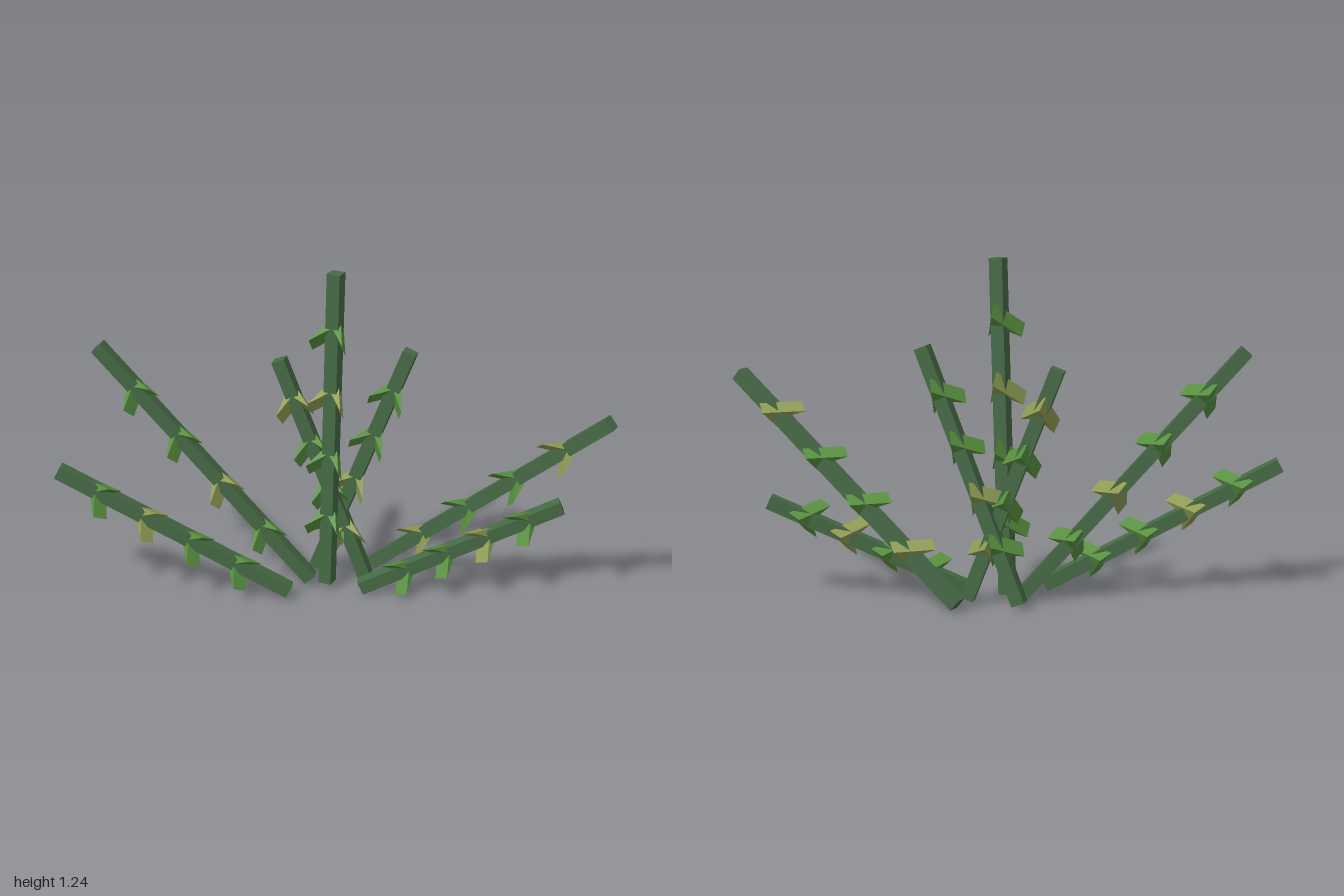
import * as THREE from 'three';

const stemMat = new THREE.MeshStandardMaterial({ color: 0x466a45 });
stemMat.name = 'stem green';
const leafMat = new THREE.MeshStandardMaterial({ color: 0x589040 });
leafMat.name = 'leaf green';
const dryMat = new THREE.MeshStandardMaterial({ color: 0x8f9c54 });
dryMat.name = 'dry leaf';

// Each stem: base, tip, and the indices of its dry leaf pairs (counted from the base)
const STEMS = [
  { name: 'lowLeft', from: [-0.16, 0.05, 0.06], to: [-0.985, 0.51, 0.245], dry: [2] },
  { name: 'highLeft', from: [-0.115, 0.05, -0.06], to: [-0.88, 0.945, 0.072], dry: [1] },
  { name: 'shortCentre', from: [0.07, 0.04, -0.165], to: [-0.255, 0.885, -0.137], dry: [0, 3] },
  { name: 'tallCentre', from: [-0.052, 0.04, -0.068], to: [-0.015, 1.26, -0.063], dry: [2] },
  { name: 'leaningCentre', from: [-0.13, 0.04, -0.185], to: [0.23, 0.95, -0.18], dry: [1] },
  { name: 'highRight', from: [0.075, 0.045, -0.27], to: [0.98, 0.805, -0.07], dry: [0, 3] },
  { name: 'lowRight', from: [0.08, 0.04, -0.062], to: [0.79, 0.375, -0.268], dry: [2] },
];

// V-shaped leaf pair: two pointed blades that join behind the stem and slope forward and down
function leafPairGeometry() {
  const shape = new THREE.Shape();
  shape.moveTo(0, -0.072);
  shape.lineTo(0.065, 0.073);
  shape.lineTo(0, 0.005);
  shape.lineTo(-0.065, 0.073);
  shape.closePath();
  const depth = 0.056;
  const geo = new THREE.ExtrudeGeometry(shape, { depth, bevelEnabled: false });
  geo.translate(0, 0, -depth / 2);
  geo.rotateX(THREE.MathUtils.degToRad(125));
  return geo;
}

function buildStem({ name, from, to, dry }, leafGeo) {
  const a = new THREE.Vector3(...from);
  const axis = new THREE.Vector3(...to).sub(a);
  const length = axis.length();
  axis.normalize();

  // Local frame: y along the stem, z level and facing the front
  const front = new THREE.Vector3(-axis.z, 0, axis.x).normalize();
  if (front.z < 0) front.negate();
  const side = new THREE.Vector3().crossVectors(axis, front);

  const group = new THREE.Group();
  group.name = name + 'Branch';
  group.position.copy(a);
  group.quaternion.setFromRotationMatrix(new THREE.Matrix4().makeBasis(side, axis, front));

  // Square stem
  const stem = new THREE.Mesh(new THREE.BoxGeometry(0.05, length, 0.05), stemMat);
  stem.name = 'stem';
  stem.position.y = length / 2;
  group.add(stem);

  // Four evenly spaced leaf pairs
  for (let i = 0; i < 4; i++) {
    const leaves = new THREE.Mesh(leafGeo, dry.includes(i) ? dryMat : leafMat);
    leaves.name = 'leafPair';
    leaves.position.y = length * (0.22 + 0.2 * i);
    group.add(leaves);
  }
  return group;
}

export function createModel() {
  const plant = new THREE.Group();
  plant.name = 'plant';
  const leafGeo = leafPairGeometry();
  for (const s of STEMS) plant.add(buildStem(s, leafGeo));
  return plant;
}
